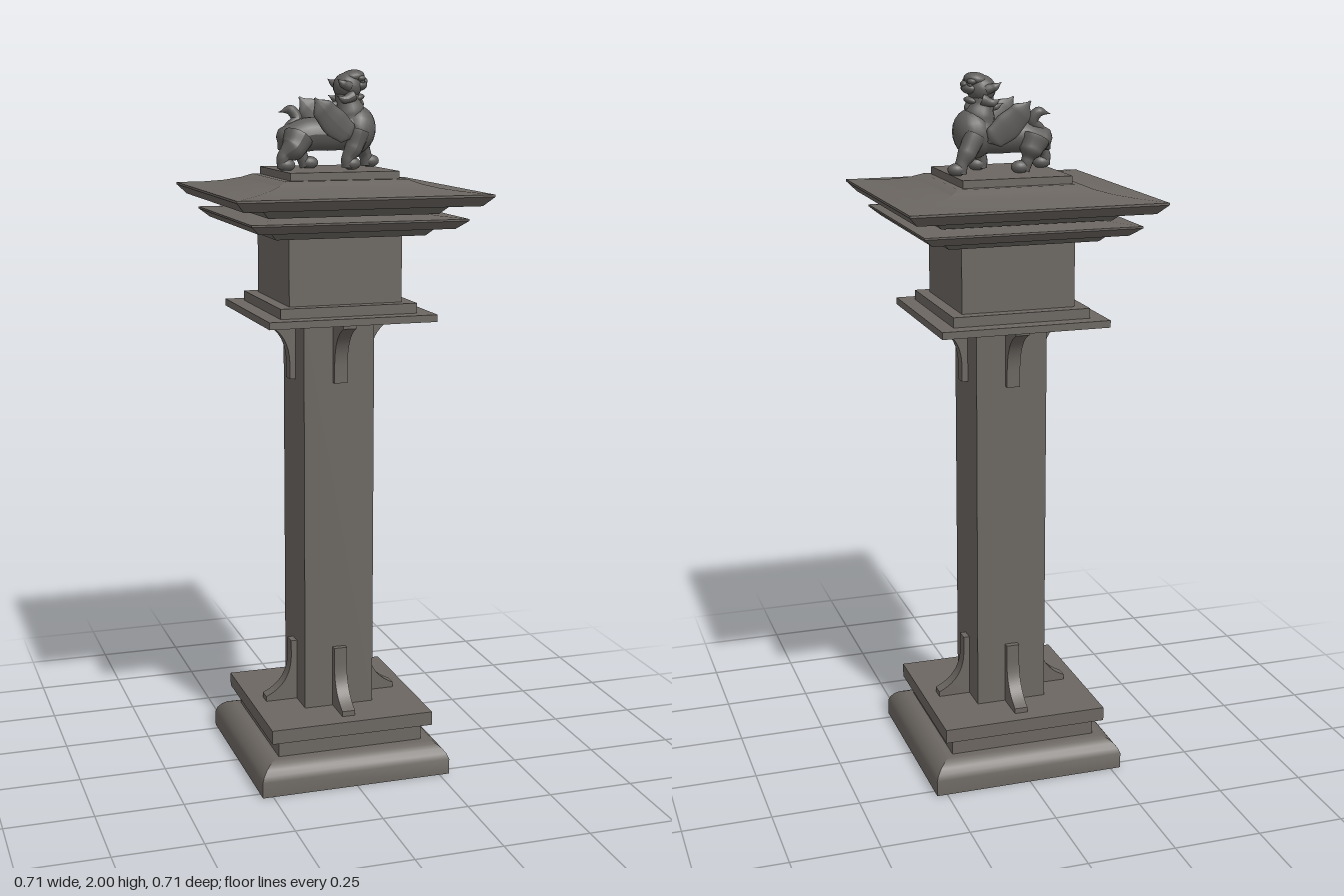
import * as THREE from 'three';
import { toCreasedNormals } from 'three/addons/utils/BufferGeometryUtils.js';

const stone = new THREE.MeshStandardMaterial({ color: 0x6b6661, side: THREE.DoubleSide });
stone.name = 'warm grey stone';
const carved = new THREE.MeshStandardMaterial({ color: 0x5e5d5b, side: THREE.DoubleSide });
carved.name = 'dark carved stone';

function add(group, name, geometry, material) {
  const mesh = new THREE.Mesh(geometry, material);
  mesh.name = name;
  group.add(mesh);
  return mesh;
}

// Square moulding: a four-sided lathe of [half width, height] points
function squareProfile(points) {
  const g = new THREE.LatheGeometry(points.map(([w, y]) => new THREE.Vector2(w * Math.SQRT2, y)), 4);
  g.rotateY(Math.PI / 4);
  return toCreasedNormals(g, 0.45);
}

// Smooth limb: a tube whose radius follows the path; nodes are [x, y, z, radius]
function limb(nodes, flat = 1) {
  const curve = new THREE.CatmullRomCurve3(nodes.map(([x, y, z]) => new THREE.Vector3(x, y, z)));
  const steps = 28, sides = 14;
  const g = new THREE.TubeGeometry(curve, steps, 1, sides, false);
  const p = g.attributes.position, v = new THREE.Vector3(), c = new THREE.Vector3();
  for (let i = 0; i <= steps; i++) {
    const u = i / steps;
    curve.getPointAt(u, c);
    const t = curve.getUtoTmapping(u) * (nodes.length - 1);
    const k = Math.min(Math.floor(t), nodes.length - 2);
    const r = THREE.MathUtils.lerp(nodes[k][3], nodes[k + 1][3], THREE.MathUtils.smoothstep(t - k, 0, 1));
    for (let j = 0; j <= sides; j++) {
      const n = i * (sides + 1) + j;
      v.fromBufferAttribute(p, n).sub(c).multiplyScalar(r);
      v.z *= flat;
      v.add(c);
      p.setXYZ(n, v.x, v.y, v.z);
    }
  }
  g.computeVertexNormals();
  return g;
}

function blob(group, name, [x, y, z], [sx, sy, sz], tilt = 0) {
  const m = add(group, name, new THREE.SphereGeometry(1, 18, 12), carved);
  m.position.set(x, y, z);
  m.scale.set(sx, sy, sz);
  m.rotation.z = tilt;
  return m;
}

// Curved bracket standing on the foot slab, and its upside-down twin
function bracketGeometry() {
  const s = new THREE.Shape();
  s.moveTo(0.1, 0);
  s.lineTo(0.197, 0);
  s.lineTo(0.197, 0.015);
  s.bezierCurveTo(0.15, 0.035, 0.122, 0.07, 0.12, 0.13);
  s.lineTo(0.12, 0.18);
  s.lineTo(0.1, 0.18);
  const g = new THREE.ExtrudeGeometry(s, { depth: 0.038, bevelEnabled: false, curveSegments: 10 });
  g.translate(0, 0, -0.019);
  return toCreasedNormals(g, 0.5);
}

function createGuardian() {
  const lion = new THREE.Group();
  lion.name = 'guardianBeast';

  // Torso, chest and neck
  add(lion, 'torso', limb([
    [-0.145, 1.785, 0, 0.002], [-0.12, 1.805, 0, 0.042], [-0.06, 1.825, 0, 0.047],
    [0.01, 1.825, 0, 0.046], [0.07, 1.835, 0, 0.058], [0.125, 1.845, 0, 0.004]]), carved);
  blob(lion, 'chest', [0.08, 1.835, 0], [0.055, 0.068, 0.062], -0.2);
  add(lion, 'neck', limb([
    [0.06, 1.83, 0, 0.05], [0.062, 1.88, 0, 0.044], [0.055, 1.92, 0, 0.034], [0.055, 1.955, 0, 0.03]]), carved);

  // Head with open jaws
  blob(lion, 'skull', [0.055, 1.955, 0], [0.04, 0.038, 0.041]);
  blob(lion, 'muzzle', [0.086, 1.957, 0], [0.026, 0.016, 0.029], 0.1);
  blob(lion, 'lowerJaw', [0.08, 1.923, 0], [0.025, 0.011, 0.024], 0.25);
  blob(lion, 'nose', [0.105, 1.969, 0], [0.009, 0.009, 0.014]);
  blob(lion, 'crest', [0.07, 1.981, 0], [0.034, 0.019, 0.033], 0.15);
  add(lion, 'beard', limb([
    [0.075, 1.925, 0, 0.015], [0.092, 1.905, 0, 0.012], [0.093, 1.89, 0, 0.001]]), carved);
  add(lion, 'maneSpike', limb([
    [0.04, 1.91, 0, 0.014], [0.015, 1.905, 0, 0.009], [-0.008, 1.915, 0, 0.001]]), carved);

  // Paired face and wing parts
  for (const s of [-1, 1]) {
    blob(lion, 'brow', [0.087, 1.977, s * 0.02], [0.014, 0.009, 0.013]);
    blob(lion, 'eye', [0.092, 1.968, s * 0.02], [0.007, 0.006, 0.007]);
    add(lion, 'ear', limb([
      [0.05, 1.955, s * 0.032, 0.014], [0.03, 1.962, s * 0.041, 0.011], [0.012, 1.975, s * 0.047, 0.001]]), carved);
    add(lion, 'cheekCurl', limb([
      [0.062, 1.93, s * 0.03, 0.016], [0.035, 1.92, s * 0.038, 0.011], [0.012, 1.93, s * 0.04, 0.001]]), carved);
    const wing = add(lion, 'wing', limb([
      [0.052, 1.815, s * 0.056, 0.004], [0.035, 1.83, s * 0.059, 0.033], [0, 1.858, s * 0.062, 0.04],
      [-0.035, 1.893, s * 0.068, 0.033], [-0.062, 1.925, s * 0.074, 0.003]], 0.25), carved);
    wing.name = s > 0 ? 'leftWing' : 'rightWing';
  }

  // Legs caught in mid stride, each ending in a rounded paw
  const legs = [
    ['frontStrideLeg', [[0.085, 1.835, -0.04, 0.03], [0.11, 1.79, -0.05, 0.026],
      [0.128, 1.76, -0.055, 0.018], [0.132, 1.735, -0.056, 0.017]], [0.142, 1.746, -0.056]],
    ['frontBackLeg', [[0.075, 1.835, 0.04, 0.032], [0.06, 1.79, 0.046, 0.025],
      [0.042, 1.76, 0.047, 0.018], [0.042, 1.735, 0.047, 0.017]], [0.053, 1.746, 0.047]],
    ['rearStrideLeg', [[-0.09, 1.82, -0.03, 0.042], [-0.075, 1.79, -0.04, 0.033],
      [-0.065, 1.765, -0.042, 0.017], [-0.055, 1.735, -0.042, 0.015]], [-0.043, 1.745, -0.042]],
    ['rearBackLeg', [[-0.095, 1.82, 0.03, 0.042], [-0.115, 1.79, 0.043, 0.035],
      [-0.143, 1.768, 0.047, 0.018], [-0.146, 1.735, 0.047, 0.015]], [-0.136, 1.745, 0.047]],
  ];
  for (const [name, path, paw] of legs) {
    add(lion, name, limb(path), carved);
    blob(lion, name + 'Paw', paw, [0.026, 0.018, 0.02]);
  }

  // Upswept curled tail
  add(lion, 'tail', limb([
    [-0.12, 1.82, -0.005, 0.018], [-0.108, 1.845, -0.012, 0.015], [-0.085, 1.865, -0.02, 0.016],
    [-0.1, 1.89, -0.027, 0.015], [-0.135, 1.885, -0.03, 0.001]]), carved);
  return lion;
}

export function createModel() {
  const model = new THREE.Group();
  model.name = 'stonePillar';

  // Hollow moulded base, open underneath
  add(model, 'base', squareProfile([
    [0.28, 0], [0.28, 0.045], [0.274, 0.06], [0.263, 0.074], [0.25, 0.084], [0.233, 0.09],
    [0.215, 0.09], [0.215, 0.14], [0.24, 0.14], [0.24, 0.18], [0.103, 0.18]]), stone);
  add(model, 'shaft', squareProfile([[0.103, 0.18], [0.103, 1.322]]), stone);

  // Capital slabs and block
  add(model, 'capital', squareProfile([
    [0.103, 1.322], [0.24, 1.322], [0.24, 1.342], [0.196, 1.342], [0.196, 1.37],
    [0.162, 1.37], [0.162, 1.558]]), stone);

  // Two stacked eaves, the upper one carrying the concave roof
  add(model, 'lowerEave', squareProfile([
    [0.162, 1.558], [0.212, 1.558], [0.232, 1.578], [0.275, 1.58], [0.303, 1.603],
    [0.303, 1.608], [0.24, 1.613], [0.185, 1.622]]), stone);
  add(model, 'upperEave', squareProfile([
    [0.185, 1.618], [0.24, 1.618], [0.262, 1.64], [0.33, 1.644], [0.355, 1.67], [0.355, 1.676]]), stone);
  add(model, 'roof', squareProfile([
    [0.355, 1.676], [0.29, 1.681], [0.24, 1.688], [0.2, 1.698], [0.173, 1.709], [0, 1.709]]), stone);

  // Brackets on all four sides, at the foot and under the capital
  const bracket = bracketGeometry();
  for (let i = 0; i < 4; i++) {
    const foot = add(model, 'footBracket', bracket, stone);
    foot.position.y = 0.18;
    foot.rotation.y = i * Math.PI / 2;
    const holder = new THREE.Group();
    holder.name = 'capitalBracket';
    holder.rotation.y = i * Math.PI / 2;
    const top = add(holder, 'capitalBracketBody', bracket, stone);
    top.position.y = 1.322;
    top.rotation.x = Math.PI;
    model.add(holder);
  }

  // Plinth and the beast on top
  const plinth = add(model, 'plinth', new THREE.BoxGeometry(0.31, 0.03, 0.31), stone);
  plinth.position.y = 1.715;
  model.add(createGuardian());
  return model;
}
